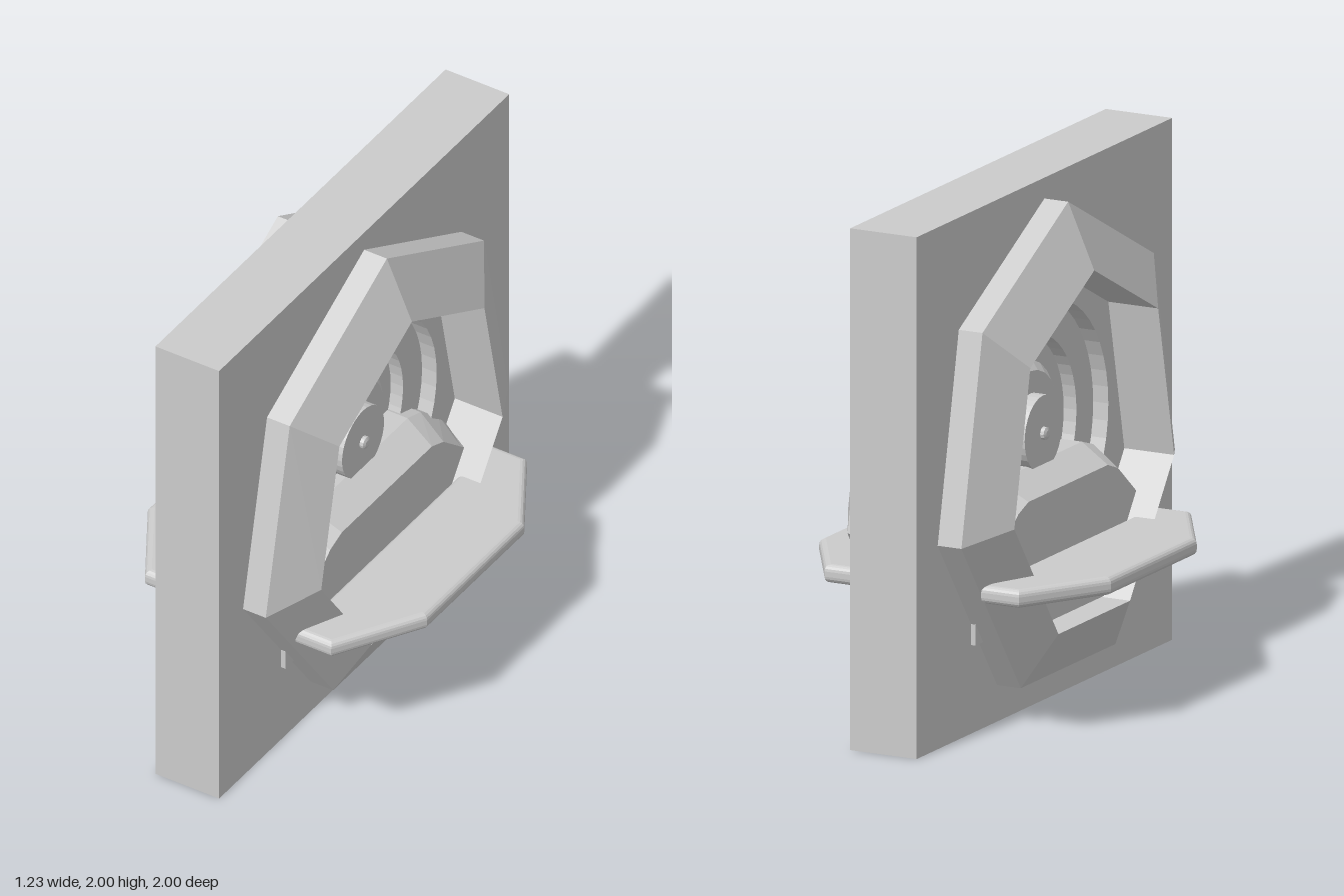
import * as THREE from 'three';

const mat = new THREE.MeshStandardMaterial({ color: 0xcccccc, flatShading: true });
const smoothMat = new THREE.MeshStandardMaterial({ color: 0xcccccc });
const HUB_Y = 1.02;

function add(parent, name, geometry, material = mat) {
  const mesh = new THREE.Mesh(geometry, material);
  mesh.name = name;
  parent.add(mesh);
  return mesh;
}

// Mirrors a half outline of [u, y] points running up the +u side
function mirrored(half) {
  const other = half.filter(p => p[0] > 0).reverse().map(([u, y]) => [-u, y]);
  return half.concat(other);
}

// Skins a list of [outline, depth] sections, optionally closing the last one
function loft(sections, cap) {
  const pos = [];
  const n = sections[0][0].length;
  const point = (s, i) => [...sections[s][0][i % n], sections[s][1]];
  for (let s = 0; s < sections.length - 1; s++) {
    for (let i = 0; i < n; i++) {
      const a = point(s, i), b = point(s, i + 1), c = point(s + 1, i + 1), d = point(s + 1, i);
      pos.push(...a, ...b, ...c, ...a, ...c, ...d);
    }
  }
  if (cap) {
    const s = sections.length - 1;
    for (let i = 1; i < n - 1; i++) pos.push(...point(s, 0), ...point(s, i), ...point(s, i + 1));
  }
  const g = new THREE.BufferGeometry();
  g.setAttribute('position', new THREE.Float32BufferAttribute(pos, 3));
  g.computeVertexNormals();
  return g;
}

// Round part turned about the depth axis, from [radius, depth] points
function turned(profile, segments = 24) {
  const g = new THREE.LatheGeometry(profile.map(p => new THREE.Vector2(...p)), segments);
  return g.rotateX(Math.PI / 2).translate(0, HUB_Y, 0);
}

// Everything fixed to one face of the wall, built facing +z
function buildSide(side) {
  const group = new THREE.Group();
  group.name = side > 0 ? 'leftSide' : 'rightSide';

  // Seven-sided frame with a sloping face
  const outer = mirrored([[0.37, 0.14], [0.835, 0.78], [0.67, 1.57], [0, 1.92]]);
  const inner = mirrored([[0.28, 0.34], [0.625, 0.82], [0.5, 1.41], [0, 1.67]]);
  add(group, 'frame', loft([[outer, 0.13], [outer, 0.24], [inner, 0.35], [inner, 0.13]], false));

  // Bench inside the frame, with a sloping top
  const back = mirrored([[0.28, 0.345], [0.59, 0.73], [0.54, 0.79], [0.42, 0.88], [0.33, 0.91]]);
  const front = mirrored([[0.28, 0.345], [0.57, 0.66], [0.51, 0.71], [0.39, 0.81], [0.31, 0.84]]);
  add(group, 'bench', loft([[back, 0.03], [back, 0.12], [front, 0.24]], true));

  // Low bracket ends showing beside the frame
  for (const s of [-1, 1]) {
    const bracket = add(group, 'benchBracket', new THREE.BoxGeometry(0.08, 0.08, 0.06));
    bracket.position.set(s * 0.535, 0.38, 0.13);
  }

  // Shelf with rounded rim, passing through the frame
  const outline = [[-0.675, 0.25], [0.675, 0.25], [0.675, 0.41], [0.335, 0.615], [-0.335, 0.615], [-0.675, 0.41]];
  const shelfGeo = new THREE.ExtrudeGeometry(new THREE.Shape(outline.map(p => new THREE.Vector2(...p))), {
    depth: 0.02, bevelThickness: 0.025, bevelSize: 0.025, bevelOffset: -0.025, bevelSegments: 4,
  });
  shelfGeo.rotateX(Math.PI / 2);
  const shelf = add(group, 'shelf', shelfGeo, smoothMat);
  shelf.position.set(0.025 * side, 0.583, 0);

  // Hub: stepped boss, disc and pin
  add(group, 'hubBoss', turned([[0.265, 0], [0.265, 0.05], [0.23, 0.08], [0, 0.08]]).scale(1, 1, 1)).material = hubMat;
  add(group, 'hubDisc', turned([[0.145, 0.07], [0.145, 0.135], [0, 0.135]], 32)).material = hubMat;
  add(group, 'hubPin', turned([[0.025, 0.13], [0.025, 0.15], [0.012, 0.155], [0, 0.155]], 12)).material = hubMat;

  group.rotation.y = side * Math.PI / 2;
  return group;
}

const hubMat = new THREE.MeshStandardMaterial({ color: 0xcccccc, flatShading: true, side: THREE.DoubleSide });

// Flat plate with a round hole, centred on the wall's middle plane
function plate(shape, holeRadius, thickness, holeY) {
  if (holeRadius) shape.holes.push(new THREE.Path().absarc(0, holeY, holeRadius, 0, Math.PI * 2, true));
  const g = new THREE.ExtrudeGeometry(shape, { depth: thickness, bevelEnabled: false, curveSegments: 24 });
  return g.translate(0, 0, -thickness / 2).rotateY(Math.PI / 2);
}

export function createModel() {
  const model = new THREE.Group();
  model.name = 'wallPanelWithFrames';

  // Square wall with a round opening
  const square = new THREE.Shape([[-1, 0], [1, 0], [1, 2], [-1, 2]].map(p => new THREE.Vector2(...p)));
  add(model, 'wall', plate(square, 0.5, 0.28, HUB_Y));

  // Thinner discs stepping inward within the opening, with narrow gaps
  const disc = r => new THREE.Shape().absarc(0, 0, r, 0, Math.PI * 2, false);
  add(model, 'outerRing', plate(disc(0.493), 0.362, 0.16, 0)).position.y = HUB_Y;
  add(model, 'innerDisc', plate(disc(0.355), 0, 0.06, 0)).position.y = HUB_Y;

  for (const side of [1, -1]) model.add(buildSide(side));
  return model;
}
